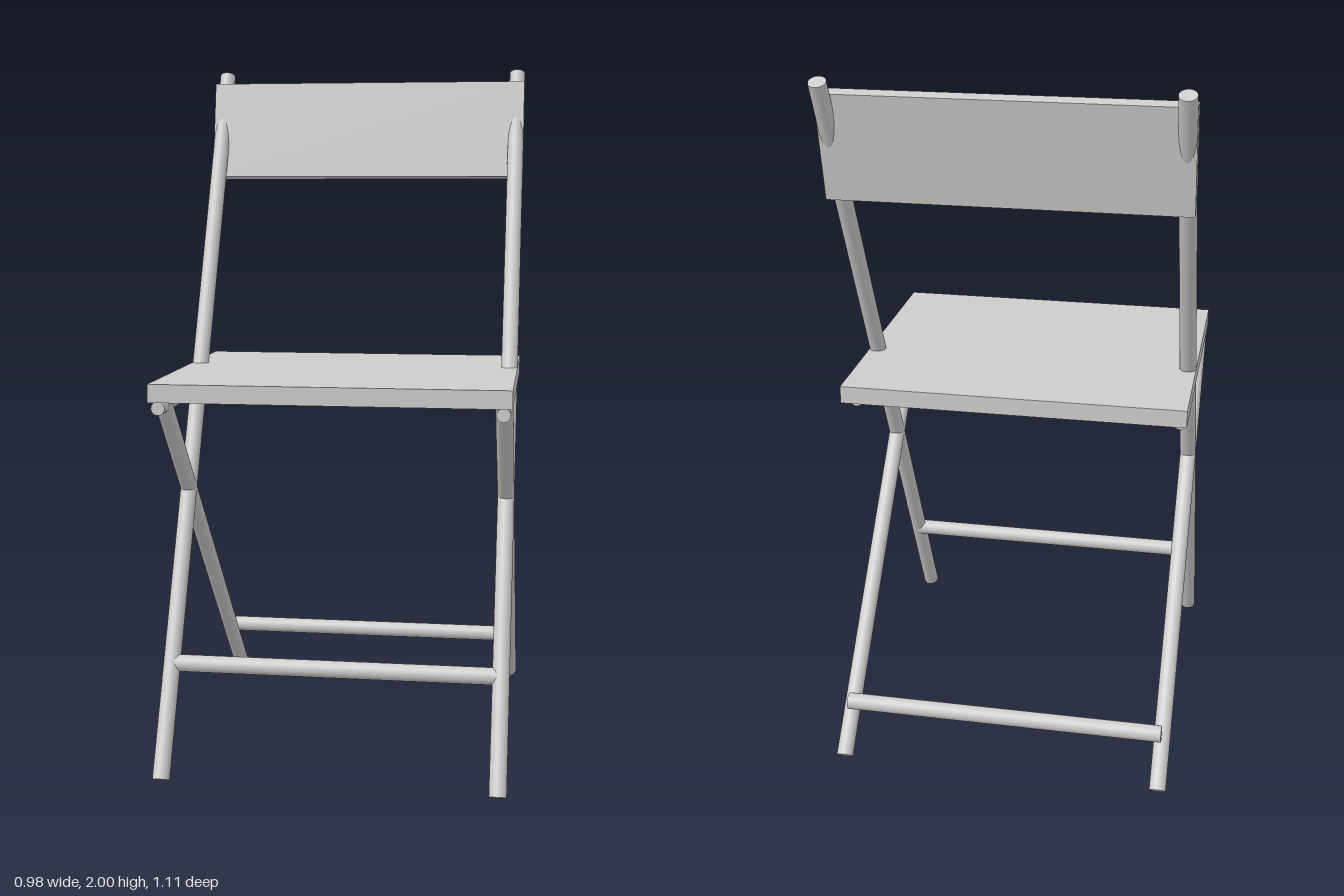
import * as THREE from 'three';

export function createModel() {
  const chair = new THREE.Group();
  chair.name = 'foldingChair';
  const grey = new THREE.MeshStandardMaterial({ color: 0xcccccb });
  grey.name = 'light grey';

  const add = (name, geometry) => {
    const mesh = new THREE.Mesh(geometry, grey);
    mesh.name = name;
    chair.add(mesh);
    return mesh;
  };

  // Round tube with flat ends between two points
  const rod = (name, from, to, radius) => {
    const a = new THREE.Vector3(...from);
    const b = new THREE.Vector3(...to);
    const dir = b.clone().sub(a);
    const mesh = add(name, new THREE.CylinderGeometry(radius, radius, dir.length(), 32));
    mesh.position.copy(a).add(b).multiplyScalar(0.5);
    mesh.quaternion.setFromUnitVectors(new THREE.Vector3(0, 1, 0), dir.normalize());
  };

  const R = 0.024; // frame tube radius
  const X = 0.464; // frame tube offset to each side

  for (const [side, x] of [['left', X], ['right', -X]]) {
    // Long upright: front foot to top of the back
    rod(side + 'Upright', [x, 0.011, 0.529], [x, 1.989, -0.447], R);
    // Short leg: rear foot to front of the seat
    rod(side + 'RearLeg', [x, 0.016, -0.537], [x, 1.056, 0.432], R);
    // Thin rail under the seat
    rod(side + 'SeatRail', [x, 1.043, 0.49], [x, 1.043, -0.255], 0.019);
  }

  // Stretchers between the feet
  rod('frontStretcher', [-X, 0.3, 0.384], [X, 0.3, 0.384], R);
  rod('rearStretcher', [-X, 0.162, -0.468], [X, 0.162, -0.468], R);

  // Seat panel
  add('seat', new THREE.BoxGeometry(0.976, 0.05, 0.83)).position.set(0, 1.086, 0.091);

  // Backrest panel, leaning back slightly
  const back = add('backrest', new THREE.BoxGeometry(0.976, 0.298, 0.04));
  back.position.set(0, 1.81, -0.364);
  back.rotation.x = -0.2;

  return chair;
}
